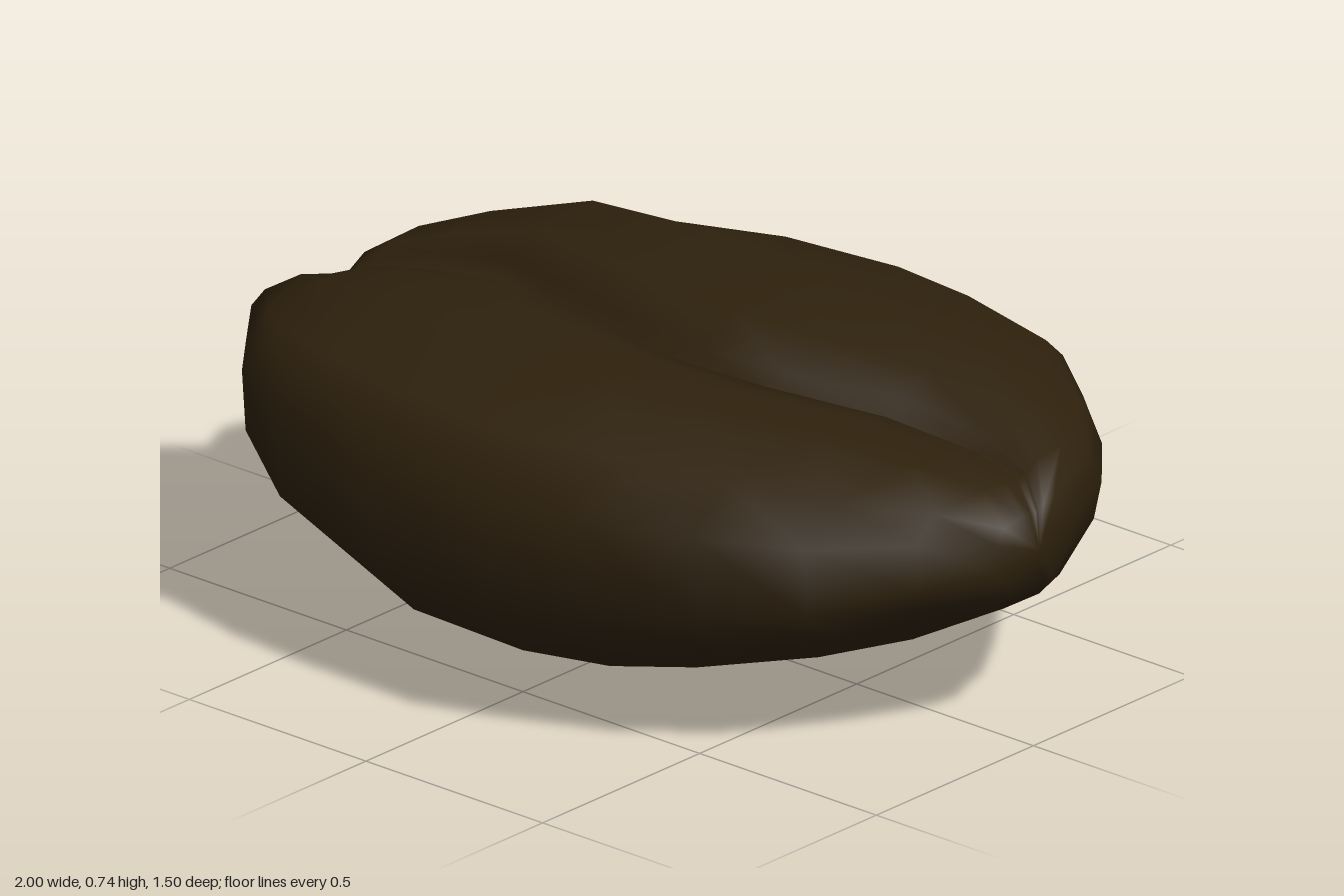
import * as THREE from 'three';

// Lengthwise stations: x, back z, front z, bottom y, top y, groove z, groove depth, front lip drop
const STATIONS = [
  [-1.0, -0.14, 0.24, 0.42, 0.56, 0.0, 1, 0.03],
  [-0.89, -0.33, 0.38, 0.295, 0.605, -0.02, 1, 0.03],
  [-0.76, -0.47, 0.54, 0.23, 0.65, -0.05, 1, 0.03],
  [-0.55, -0.645, 0.67, 0.11, 0.705, -0.06, 1, 0.03],
  [-0.22, -0.74, 0.74, 0.0, 0.735, 0.04, 1, 0],
  [0.1, -0.75, 0.745, 0.0, 0.74, 0.085, 1, 0],
  [0.3, -0.735, 0.685, 0.04, 0.725, 0.04, 1, 0.01],
  [0.55, -0.665, 0.585, 0.105, 0.695, -0.07, 1, 0.03],
  [0.75, -0.5, 0.45, 0.185, 0.645, -0.11, 0.8, 0.03],
  [0.9, -0.33, 0.26, 0.28, 0.6, -0.08, 0.2, 0.02],
  [0.985, -0.14, 0.1, 0.345, 0.54, -0.03, 0, 0],
];

// Cross-section: s from -1 (back) to 1 (front) about the groove, height 0..0.74.
// The first point is the bottom of the groove.
const SECTION = [
  [0, 0.6], [-0.05, 0.67], [-0.18, 0.722], [-0.48, 0.74], [-0.8, 0.66],
  [-0.89, 0.595], [-1, 0.45], [-0.9, 0.27], [-0.464, 0.055], [-0.2, 0],
  [0.38, 0.035], [0.8, 0.16], [0.98, 0.29], [1, 0.54], [0.82, 0.66],
  [0.38, 0.695], [0.17, 0.69], [0.05, 0.67],
];

// The left tip is notched where the groove runs out
function notchedTip(z) {
  if (z >= 0) return -0.915 - 0.085 * Math.min(z / 0.1, 1);
  return -0.915 - 0.045 * Math.min(-z / 0.08, 1);
}

// Section height with the groove fading out, the front lip sinking and the left back shoulder rounded
function sectionHeight(s, h, x, groove, lipDrop) {
  if (s === 0) return 0.69 - (0.69 - h) * groove;
  if (h < 0.59) return h;
  if (s > 0 && s < 0.5) return h - lipDrop * (1 - s);
  if (s < -0.5) return h - 0.08 * Math.max(0, -x);
  return h;
}

function beanGeometry() {
  const positions = [], index = [];
  const n = SECTION.length, last = STATIONS.length - 1;
  STATIONS.forEach(([x, zb, zf, yb, yt, c, groove, lipDrop], i) => {
    for (const [s, h] of SECTION) {
      const z = c + s * (s < 0 ? c - zb : zf - c);
      const y = yb + (sectionHeight(s, h, x, groove, lipDrop) / 0.74) * (yt - yb);
      positions.push(i === 0 ? notchedTip(z) : x, y, z);
    }
  });
  for (let i = 0; i < last; i++) {
    for (let j = 0; j < n; j++) {
      const k = (j + 1) % n;
      const a = i * n + j, b = a + n, d = i * n + k, e = d + n;
      index.push(a, b, d, b, e, d);
    }
  }
  // Close both tips with a fan
  for (const i of [0, last]) {
    const [x, zb, zf, yb, yt] = STATIONS[i];
    const centre = positions.length / 3, z = (zb + zf) / 2;
    positions.push(i === 0 ? notchedTip(z) : x + 0.015, (yb + yt) / 2, z);
    for (let j = 0; j < n; j++) {
      const a = i * n + j, b = i * n + (j + 1) % n;
      if (i === 0) index.push(centre, a, b);
      else index.push(centre, b, a);
    }
  }
  const geometry = new THREE.BufferGeometry();
  geometry.setAttribute('position', new THREE.Float32BufferAttribute(positions, 3));
  geometry.setIndex(index);
  geometry.computeVertexNormals();
  return geometry;
}

export function createModel() {
  const roastBrown = new THREE.MeshStandardMaterial({ color: 0x2e210d });
  roastBrown.name = 'roastBrown';
  const bean = new THREE.Mesh(beanGeometry(), roastBrown);
  bean.name = 'bean';
  const group = new THREE.Group();
  group.name = 'coffeeBean';
  group.add(bean);
  return group;
}
